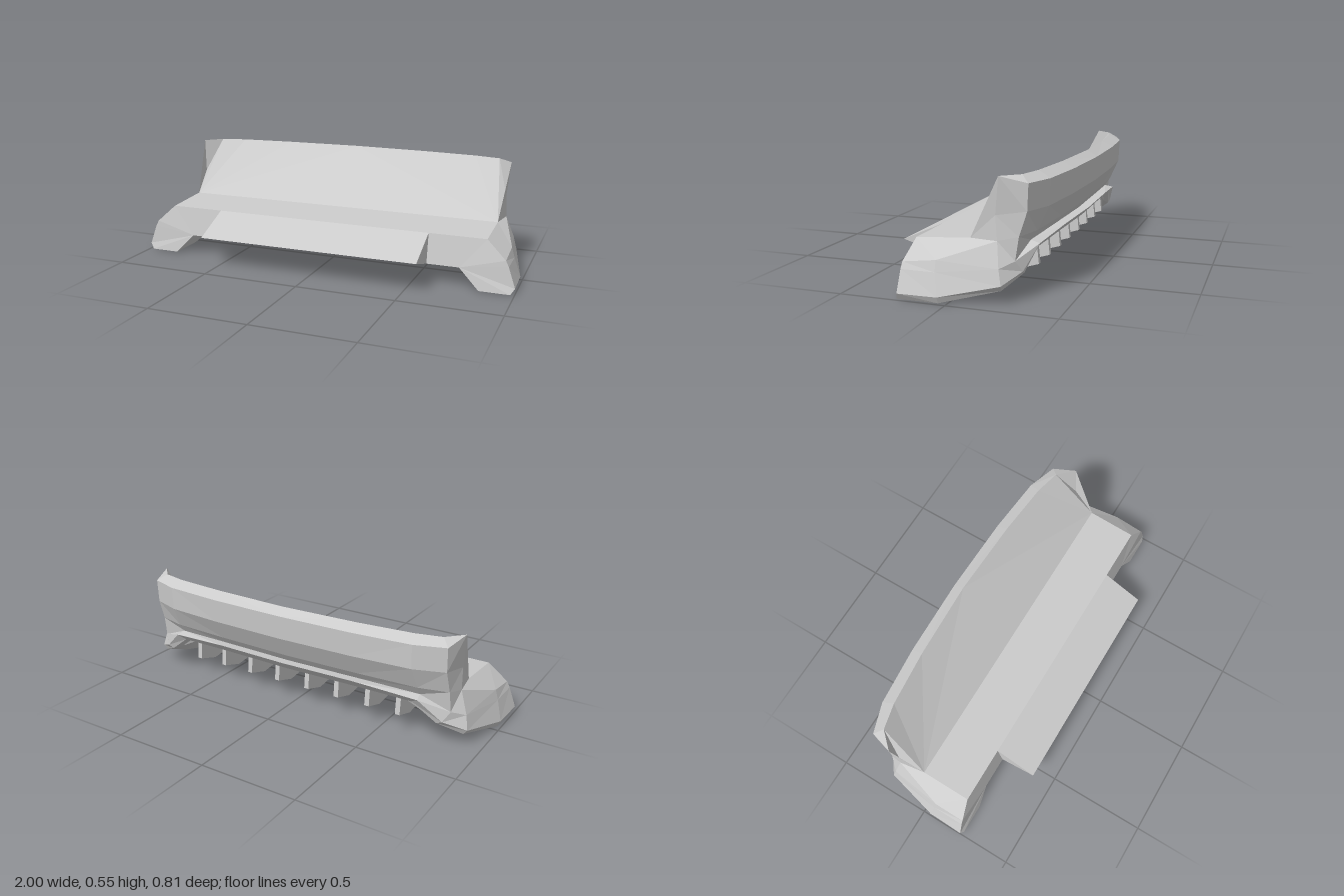
import * as THREE from 'three';

const material = new THREE.MeshStandardMaterial({ color: 0xcccccc, flatShading: true, side: THREE.DoubleSide });

// Faceted mesh from polygons (drawn as fans), optionally mirrored across x = 0
function facets(name, polygons, mirror = true) {
  const pos = [];
  const tri = (a, b, c) => pos.push(...a, ...b, ...c);
  const flip = ([x, y, z]) => [-x, y, z];
  for (const p of polygons) {
    for (let i = 1; i < p.length - 1; i++) {
      tri(p[0], p[i], p[i + 1]);
      if (mirror) tri(flip(p[0]), flip(p[i + 1]), flip(p[i]));
    }
  }
  const g = new THREE.BufferGeometry();
  g.setAttribute('position', new THREE.Float32BufferAttribute(pos, 3));
  g.computeVertexNormals();
  const mesh = new THREE.Mesh(g, material);
  mesh.name = name;
  return mesh;
}

// Quads between neighbouring cross-sections
function loft(sections) {
  const quads = [];
  for (let i = 0; i < sections.length - 1; i++) {
    const s = sections[i], t = sections[i + 1];
    for (let j = 0; j < s.length - 1; j++) quads.push([s[j], s[j + 1], t[j + 1], t[j]]);
  }
  return quads;
}

export function createModel() {
  const model = new THREE.Group();
  model.name = 'rearBumper';

  // Half-body sections, front tip of the flare round to the middle of the back.
  // Each runs: rim, shoulder, lower body, recess, lip, lip underside, inner edge, floor edge
  const front = [[0.855, 0.248, 0.195], [0.855, 0.248, 0.195], [0.95, 0.16, 0.218], [0.965, 0.13, 0.22],
    [1, 0.03, 0.225], [0.98, 0, 0.235], [0.83, 0, 0.235], [0.73, 0.1, 0.22]];
  const flare = [[0.855, 0.265, -0.06], [0.855, 0.265, -0.06], [0.95, 0.18, 0.06], [0.965, 0.13, 0.06],
    [0.995, 0.03, 0.04], [0.98, 0, 0.04], [0.83, 0, 0.04], [0.73, 0.1, 0.04]];
  const side = [[0.885, 0.545, -0.2], [0.87, 0.375, -0.18], [0.875, 0.265, -0.19], [0.915, 0.155, -0.21],
    [0.93, 0.085, -0.225], [0.91, 0.06, -0.22], [0.78, 0.08, -0.2], [0.7, 0.15, -0.15]];
  const corner = [[0.85, 0.515, -0.32], [0.85, 0.395, -0.315], [0.855, 0.285, -0.28], [0.86, 0.18, -0.265],
    [0.83, 0.13, -0.29], [0.8, 0.115, -0.285], [0.74, 0.14, -0.27], [0.66, 0.19, -0.265]];
  const back = [
    [[0.7, 0.515, -0.37], [0.7, 0.395, -0.365], [0.71, 0.285, -0.315], [0.71, 0.24, -0.285],
      [0.72, 0.23, -0.33], [0.68, 0.205, -0.31], [0.66, 0.2, -0.285], [0.62, 0.2, -0.28]],
    // gently bowed rear
    ...[[0.4, 0], [0, 0.01]].map(([x, b]) => [[x, 0.515, -0.395 - b], [x, 0.395, -0.387 - b],
      [x, 0.285, -0.33 - b], [x, 0.245, -0.3 - b], [x, 0.252, -0.357 - b], [x, 0.21, -0.32 - b],
      [x, 0.203, -0.295], [x, 0.2, -0.29]]),
  ];
  const sections = [front, flare, side, corner, ...back];
  model.add(facets('outerShell', loft(sections)));

  // Top rim and the sloped panel inside it
  const rim = [[0.81, 0.545, -0.28], [0.68, 0.545, -0.31], [0.4, 0.545, -0.335], [0, 0.545, -0.35]];
  const outer = [corner, ...back].map((s) => s[0]);
  const rimFaces = [[side[0], outer[0], rim[0]]];
  const hinge = flare[0];
  const panel = [[hinge, side[1], rim[0]], [side[1], side[0], rim[0]], [[0, 0.265, -0.06], hinge, rim[3]]];
  for (let i = 0; i < 3; i++) {
    rimFaces.push([rim[i], outer[i], outer[i + 1], rim[i + 1]]);
    panel.push([hinge, rim[i], rim[i + 1]]);
  }
  model.add(facets('topRim', rimFaces), facets('slopedPanel', panel));

  // Flat deck and front end faces
  model.add(facets('deck', [[[-0.855, 0.248, 0.195], front[0], hinge, [-0.855, 0.265, -0.06]]], false));
  model.add(facets('frontFace', [[front[7], front[6], front[5], front[4], front[3], front[2], front[0],
    [0.57, 0.248, 0.195], [0.57, 0.1, 0.22]]]));

  // Wedge projecting forward from the deck
  const w = (s) => [[s * 0.57, 0.248, 0.195], [s * 0.57, 0.155, 0.405], [s * 0.57, 0.1, 0.22]];
  const [l, r] = [w(1), w(-1)];
  model.add(facets('frontWedge', [[r[0], r[1], l[1], l[0]], [r[1], r[2], l[2], l[1]],
    [l[0], l[1], l[2]], [r[0], r[2], r[1]]], false));

  // Rising floor
  const edge = sections.map((s) => s[7]);
  const floor = [];
  for (let i = 0; i < 4; i++) {
    const [a, b] = [edge[i], edge[i + 1]];
    floor.push([a, [0, a[1], a[2]], [0, b[1], b[2]], b]);
  }
  floor.push([edge[4], [0, 0.2, -0.28], edge[6], edge[5]]);
  model.add(facets('floor', floor));

  // Row of fins under the floor
  const profile = [[0.08, 0.1], [-0.18, 0.07], [-0.292, 0.105], [-0.282, 0.203], [-0.15, 0.155], [0.04, 0.104]];
  const finGeometry = new THREE.ExtrudeGeometry(
    new THREE.Shape(profile.map(([z, y]) => new THREE.Vector2(z, y))), { depth: 0.025, bevelEnabled: false });
  finGeometry.translate(0, 0, -0.0125).rotateY(-Math.PI / 2);
  const fins = new THREE.Group();
  fins.name = 'fins';
  for (const x of [0.09, 0.263, 0.437, 0.603]) {
    for (const s of [1, -1]) {
      const fin = new THREE.Mesh(finGeometry, material);
      fin.name = 'fin';
      fin.position.x = s * x;
      fins.add(fin);
    }
  }
  model.add(fins);
  return model;
}
